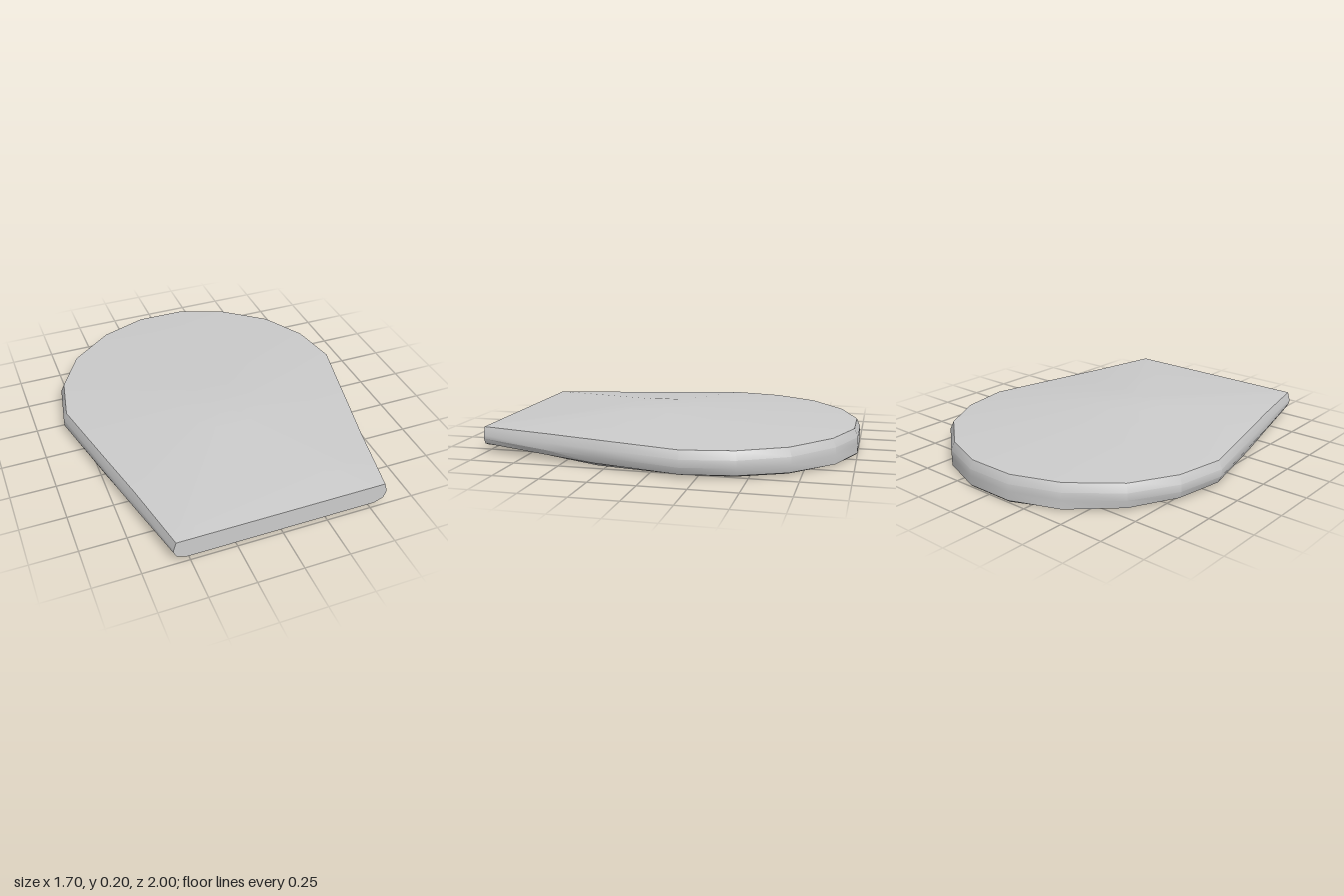
import * as THREE from 'three';
import { toCreasedNormals } from 'three/addons/utils/BufferGeometryUtils.js';

// Half outline from back to front: outer x, z | lower edge x, y, z | flat base x, z
const HALF = [
  [0.14, -1.0, 0.14, 0.01, -1.0, 0.14, -0.99],
  [0.41, -0.9, 0.41, 0.01, -0.9, 0.39, -0.88],
  [0.66, -0.7, 0.65, 0.015, -0.69, 0.61, -0.68],
  [0.8, -0.45, 0.785, 0.02, -0.445, 0.73, -0.43],
  [0.85, -0.17, 0.83, 0.02, -0.17, 0.76, -0.17],
  [0.742, 0.3, 0.725, 0.02, 0.3, 0.69, 0.3],
  [0.672, 0.6, 0.655, 0.03, 0.6, 0.55, 0.62],
  [0.585, 1.0, 0.57, 0.05, 1.0, 0.36, 0.83],
  [0.5, 1.0, 0.52, 0.03, 1.0, 0.16, 0.9],
];
const CENTRE_Z = 0.14;

// Points of one vertical section, from the crown centre down to the base centre
function section([x, z, lx, ly, lz, fx, fz]) {
  const front = z === 1;
  const angle = Math.atan2(z - CENTRE_Z, x);
  const rimZ = front ? 1 : z * 0.98;
  return [
    [0, 0.2, CENTRE_Z],
    [0.2 * Math.cos(angle), 0.2, CENTRE_Z + 0.2 * Math.sin(angle)],
    [x * 0.977, 0.145, rimZ],
    [x, 0.1, z],
    [x, front ? 0.08 : 0.06, z],
    [lx, ly, lz],
    [fx, 0, fz],
    [0, 0, 0],
  ];
}

function slabGeometry() {
  const right = HALF.map(section);
  const left = right.map((s) => s.map(([x, y, z]) => [-x, y, z])).reverse();
  const sections = [...right, ...left];
  const positions = [];
  const last = right[0].length - 2;
  sections.forEach((s, j) => {
    const n = sections[(j + 1) % sections.length];
    for (let i = 0; i <= last; i++) {
      // The two centres close as fans, everything between as quads
      if (i > 0) positions.push(...s[i], ...n[i], ...s[i + 1]);
      if (i < last) positions.push(...n[i], ...n[i + 1], ...s[i + 1]);
    }
  });
  const geometry = new THREE.BufferGeometry();
  geometry.setAttribute('position', new THREE.Float32BufferAttribute(positions, 3));
  return toCreasedNormals(geometry, 0.5);
}

export function createModel() {
  const group = new THREE.Group();
  const slab = new THREE.Mesh(
    slabGeometry(),
    new THREE.MeshStandardMaterial({ color: 0xcccccc }),
  );
  slab.name = 'domedSlab';
  group.add(slab);
  return group;
}
